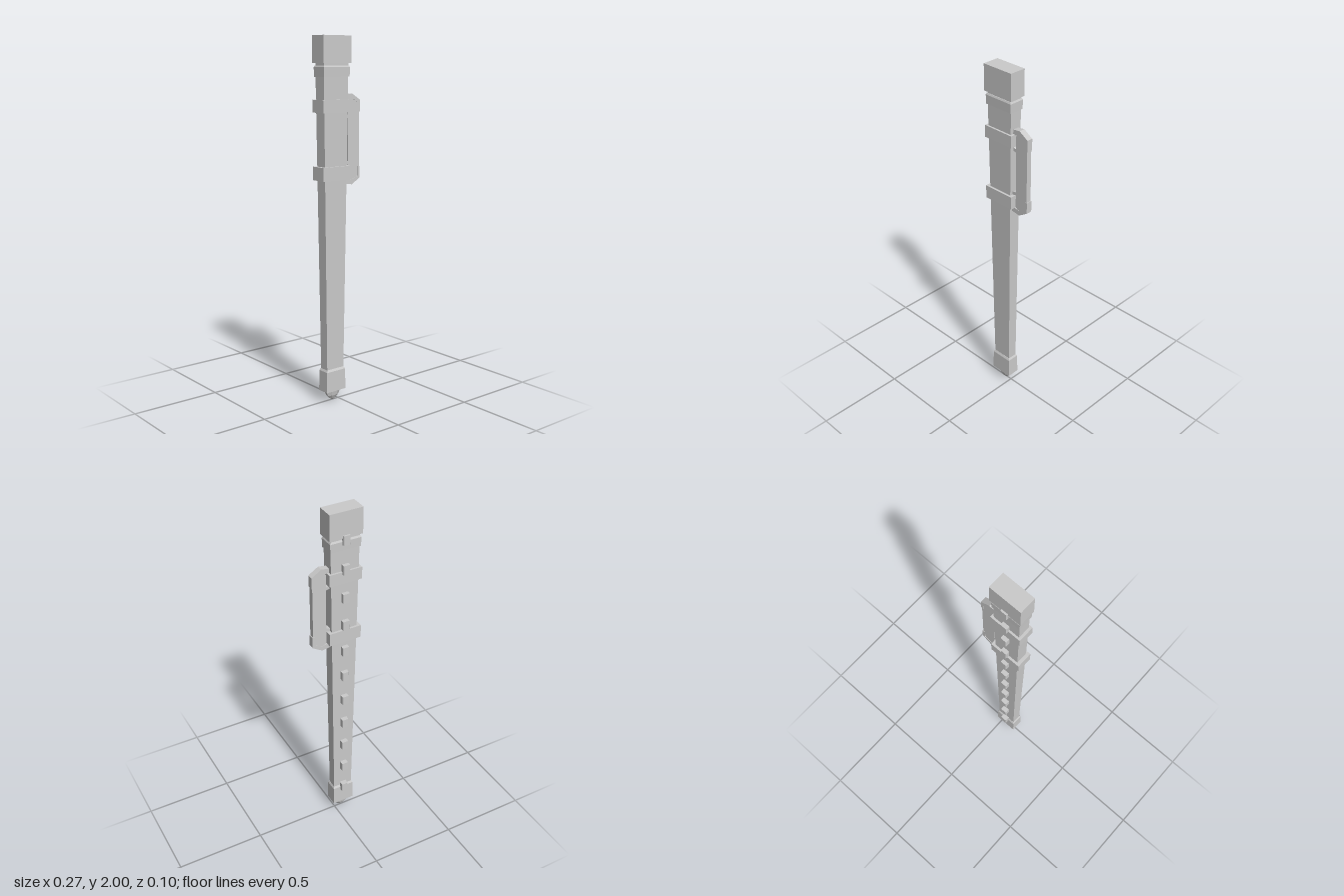
import * as THREE from 'three';

const CX = -0.043, CZ = 0.004;

export function createModel() {
  const group = new THREE.Group();
  const grey = new THREE.MeshStandardMaterial({ color: 0xcacaca, flatShading: true });
  grey.name = 'lightGrey';

  const add = (name, geometry, x = 0, y = 0, z = 0) => {
    const mesh = new THREE.Mesh(geometry, grey);
    mesh.name = name;
    mesh.position.set(x, y, z);
    group.add(mesh);
    return mesh;
  };

  // Box between two heights, with its own half width and half depth at each end
  const taper = (name, y0, y1, [w0, d0], [w1, d1] = [w0, d0]) => {
    const g = new THREE.BoxGeometry(2, y1 - y0, 2);
    const p = g.attributes.position;
    for (let i = 0; i < p.count; i++) {
      const top = p.getY(i) > 0;
      p.setX(i, p.getX(i) * (top ? w1 : w0));
      p.setZ(i, p.getZ(i) * (top ? d1 : d0));
    }
    g.computeVertexNormals();
    return add(name, g, CX, (y0 + y1) / 2, CZ);
  };

  // Flat outline in x and y, given a depth centred on z
  const plate = (name, points, depth) => {
    const shape = new THREE.Shape(points.map(([x, y]) => new THREE.Vector2(x, y)));
    const g = new THREE.ExtrudeGeometry(shape, { depth, bevelEnabled: false });
    return add(name, g, 0, 0, CZ - depth / 2);
  };

  // Long tapering sheath and the fittings around it
  taper('sheath', 0.1, 1.88, [0.056, 0.027], [0.083, 0.036]);
  taper('throatBlock', 1.857, 2.0, [0.094, 0.047]);
  taper('collar', 1.787, 1.837, [0.086, 0.042], [0.088, 0.043]);
  taper('collarBevel', 1.837, 1.846, [0.088, 0.043], [0.084, 0.039]);
  taper('upperBand', 1.601, 1.668, [0.094, 0.046]);
  taper('lowerBand', 1.242, 1.315, [0.093, 0.046]);
  taper('endCap', 0.062, 0.178, [0.065, 0.036], [0.064, 0.035]);
  taper('endCapBevel', 0.178, 0.19, [0.064, 0.035], [0.058, 0.029]);

  // Faceted, bulging point below the end cap
  const tip = new THREE.LatheGeometry(
    [[0, 0], [0.35, 0.01], [0.8, 0.031], [1, 0.055], [1, 0.07], [0, 0.07]]
      .map(([r, y]) => new THREE.Vector2(r, y)), 8);
  tip.rotateY(Math.PI / 8);
  tip.scale(0.051, 1, 0.025);
  add('tip', tip, CX, 0, CZ);

  // Row of studs down the back, with narrow bevels on the outer edges
  const studShape = new THREE.Shape(
    [[-0.019, 0], [0.019, 0], [0.019, 0.03], [0.016, 0.034], [-0.016, 0.034], [-0.019, 0.03]]
      .map(([x, y]) => new THREE.Vector2(x, y)));
  const studGeometry = new THREE.ExtrudeGeometry(studShape, { depth: 0.053, bevelEnabled: false });
  studGeometry.translate(0, 0, -0.0265);
  studGeometry.rotateX(-Math.PI / 2);
  for (let i = 0; i < 11; i++) {
    add('backStud', studGeometry, -0.043, 1.846 - i * 0.166, -0.019);
  }

  // Side bracket: mirrored arms with small clips, joined by a grip
  const midY = 1.453;
  for (const s of [1, -1]) {
    const flip = (pts) => pts.map(([x, y]) => [x, midY + s * y]);
    plate('bracketArm', flip([
      [0.01, 0.235], [0.081, 0.245], [0.136, 0.211], [0.136, 0.148],
      [0.12, 0.148], [0.12, 0.2], [0.081, 0.218], [0.01, 0.205],
    ]), 0.034);
    plate('bracketClip', flip([[0.01, 0.148], [0.06, 0.132], [0.06, 0.115], [0.01, 0.125]]), 0.03);
  }
  plate('grip', [
    [0.054, 1.248], [0.077, 1.226], [0.132, 1.248],
    [0.132, 1.658], [0.077, 1.68], [0.054, 1.658],
  ], 0.03);

  return group;
}
